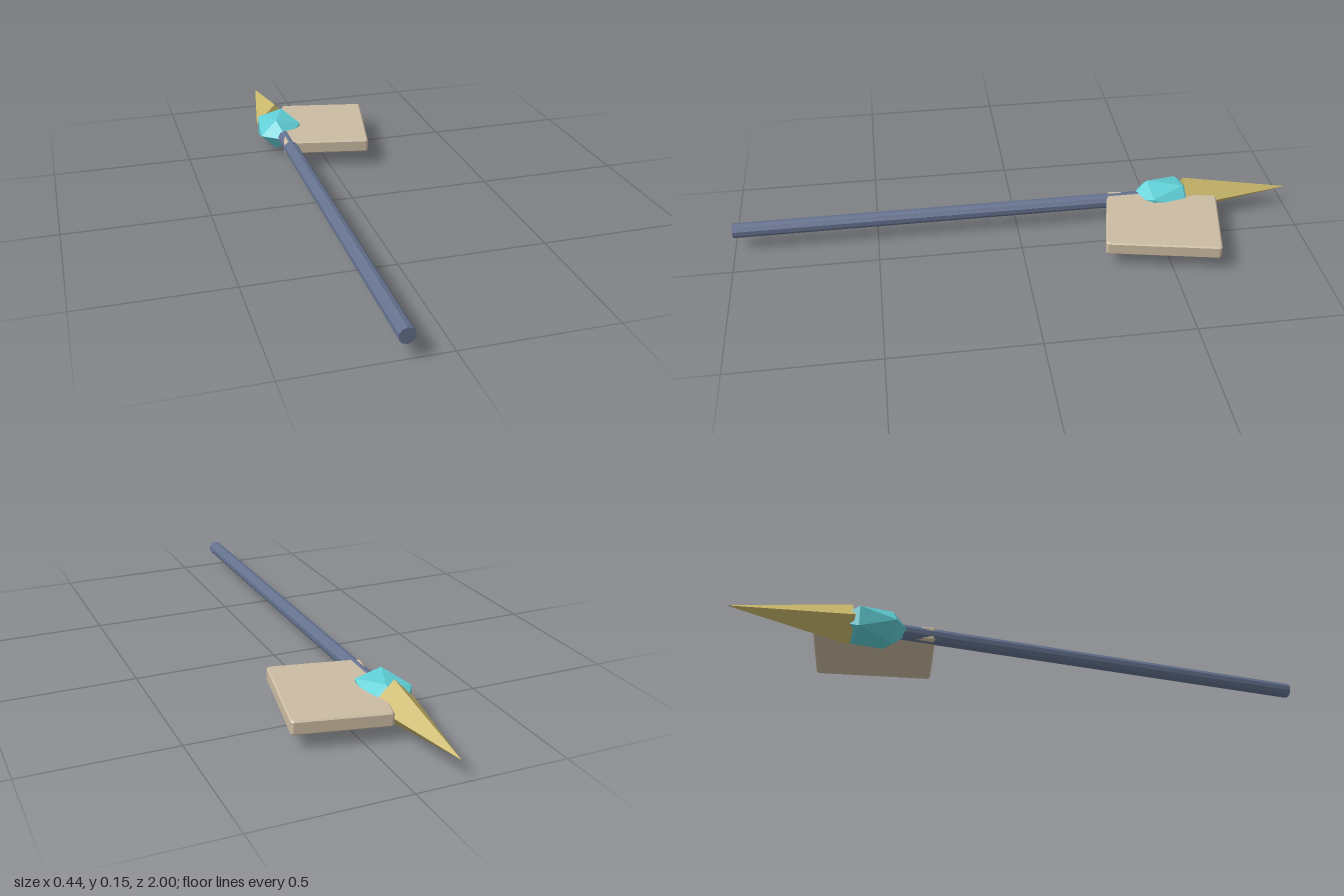
import * as THREE from 'three';

const AXIS_X = -0.141, AXIS_Y = 0.0735;

function material(name, color) {
  const m = new THREE.MeshStandardMaterial({ color, flatShading: true });
  m.name = name;
  return m;
}

export function createModel() {
  const steel = material('blue grey shaft', 0x65728f);
  const teal = material('turquoise gem', 0x5fced5);
  const gold = material('pale gold', 0xc9b76a);
  const cream = material('cream slab', 0xcbbba2);
  const group = new THREE.Group();

  function add(name, geometry, mat, x, y, z) {
    const mesh = new THREE.Mesh(geometry, mat);
    mesh.name = name;
    mesh.position.set(x, y, z);
    group.add(mesh);
    return mesh;
  }

  // Long shaft lying along z
  const shaft = new THREE.CylinderGeometry(0.026, 0.026, 1.6, 10).rotateX(Math.PI / 2);
  add('shaft', shaft, steel, AXIS_X, AXIS_Y, 0.2);

  // Stretched, turned gem around the shaft
  const gem = new THREE.IcosahedronGeometry(0.0945, 0)
    .rotateY(THREE.MathUtils.degToRad(61))
    .scale(1, 0.705, 1.4);
  add('gem', gem, teal, AXIS_X, AXIS_Y, -0.54);

  // Four-sided spear point, tip toward -z
  const point = new THREE.ConeGeometry(0.0735, 0.392, 4).rotateX(-Math.PI / 2);
  add('spearPoint', point, gold, AXIS_X, AXIS_Y, -0.804);

  // Flat slab with chamfered edges, beside the gem
  const w = 0.157, d = 0.1965, c = 0.005, bevel = 0.005, thick = 0.047;
  const hw = w - bevel, hd = d - bevel;
  const outline = new THREE.Shape([
    [hw - c, -hd], [hw, -hd + c], [hw, hd - c], [hw - c, hd],
    [-hw + c, hd], [-hw, hd - c], [-hw, -hd + c], [-hw + c, -hd],
  ].map(([x, y]) => new THREE.Vector2(x, y)));
  const slab = new THREE.ExtrudeGeometry(outline, {
    depth: thick - 2 * bevel, bevelEnabled: true,
    bevelThickness: bevel, bevelSize: bevel, bevelSegments: 1,
  });
  slab.translate(0, 0, bevel - thick / 2).rotateX(-Math.PI / 2);
  add('slab', slab, cream, 0.0265, AXIS_Y, -0.495).rotation.y = THREE.MathUtils.degToRad(-11.7);

  return group;
}
